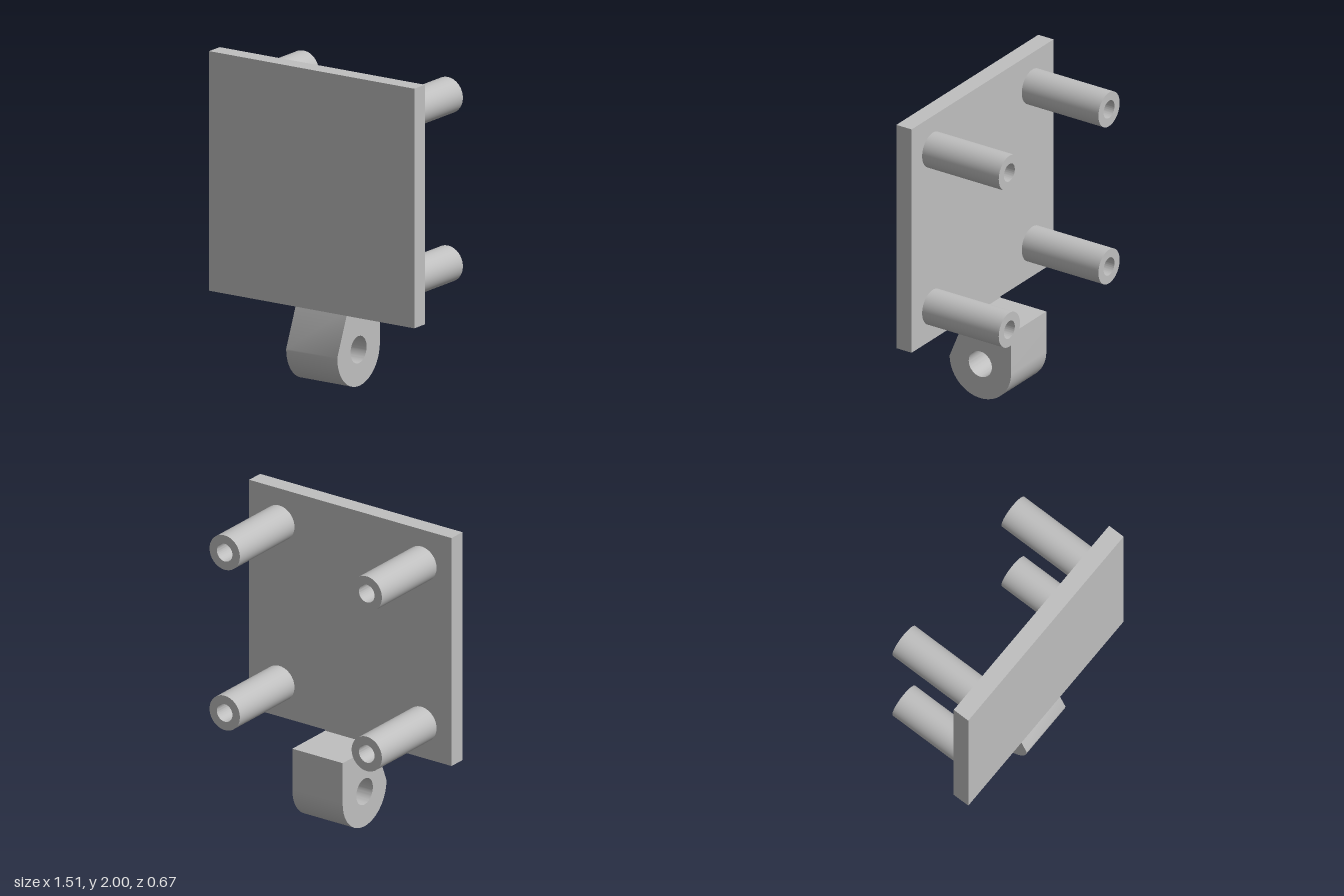
import * as THREE from 'three';
import { toCreasedNormals } from 'three/addons/utils/BufferGeometryUtils.js';

// Extrude a shape with smooth curved walls and sharp rims
function extrude(shape, depth) {
  const geometry = new THREE.ExtrudeGeometry(shape, { depth, bevelEnabled: false, curveSegments: 32 });
  return toCreasedNormals(geometry, Math.PI / 6);
}

function circularHole(x, y, radius) {
  return new THREE.Path().absarc(x, y, radius, 0, Math.PI * 2, true);
}

export function createModel() {
  const model = new THREE.Group();
  model.name = 'mountingBracket';
  const grey = new THREE.MeshStandardMaterial({ color: 0xbfbfbf });
  grey.name = 'grey';

  const add = (name, geometry, x, y, z) => {
    const mesh = new THREE.Mesh(geometry, grey);
    mesh.name = name;
    mesh.position.set(x, y, z);
    model.add(mesh);
  };

  const backZ = 0.225, frontZ = 0.337;

  // Square plate
  add('plate', new THREE.BoxGeometry(1.51, 1.5, frontZ - backZ), 0, 1.25, (frontZ + backZ) / 2);

  // Four hollow standoffs behind the plate
  const ring = new THREE.Shape().absarc(0, 0, 0.113, 0, Math.PI * 2, false);
  ring.holes.push(circularHole(0, 0, 0.058));
  const length = 0.562;
  const standoff = extrude(ring, length);
  for (const [side, x] of [['Left', 0.53], ['Right', -0.53]]) {
    for (const [level, y] of [['upper', 1.775], ['lower', 0.72]]) {
      add(`${level}${side}Standoff`, standoff, x, y, backZ - length);
    }
  }

  // Rounded hinge lug under the plate, drawn in side profile (-z, y)
  const radius = 0.225, centre = -0.112, width = 0.376;
  const profile = new THREE.Shape();
  profile.moveTo(centre - radius, 0.5);
  profile.absarc(centre, radius, radius, Math.PI, Math.PI * 2, false);
  profile.lineTo(centre + radius, 0.493);
  profile.lineTo(-backZ, 0.493);
  profile.lineTo(-backZ, 0.5);
  profile.closePath();
  profile.holes.push(circularHole(centre, 0.228, 0.085));
  add('hingeLug', extrude(profile, width).rotateY(Math.PI / 2), -width / 2, 0, 0);

  return model;
}
